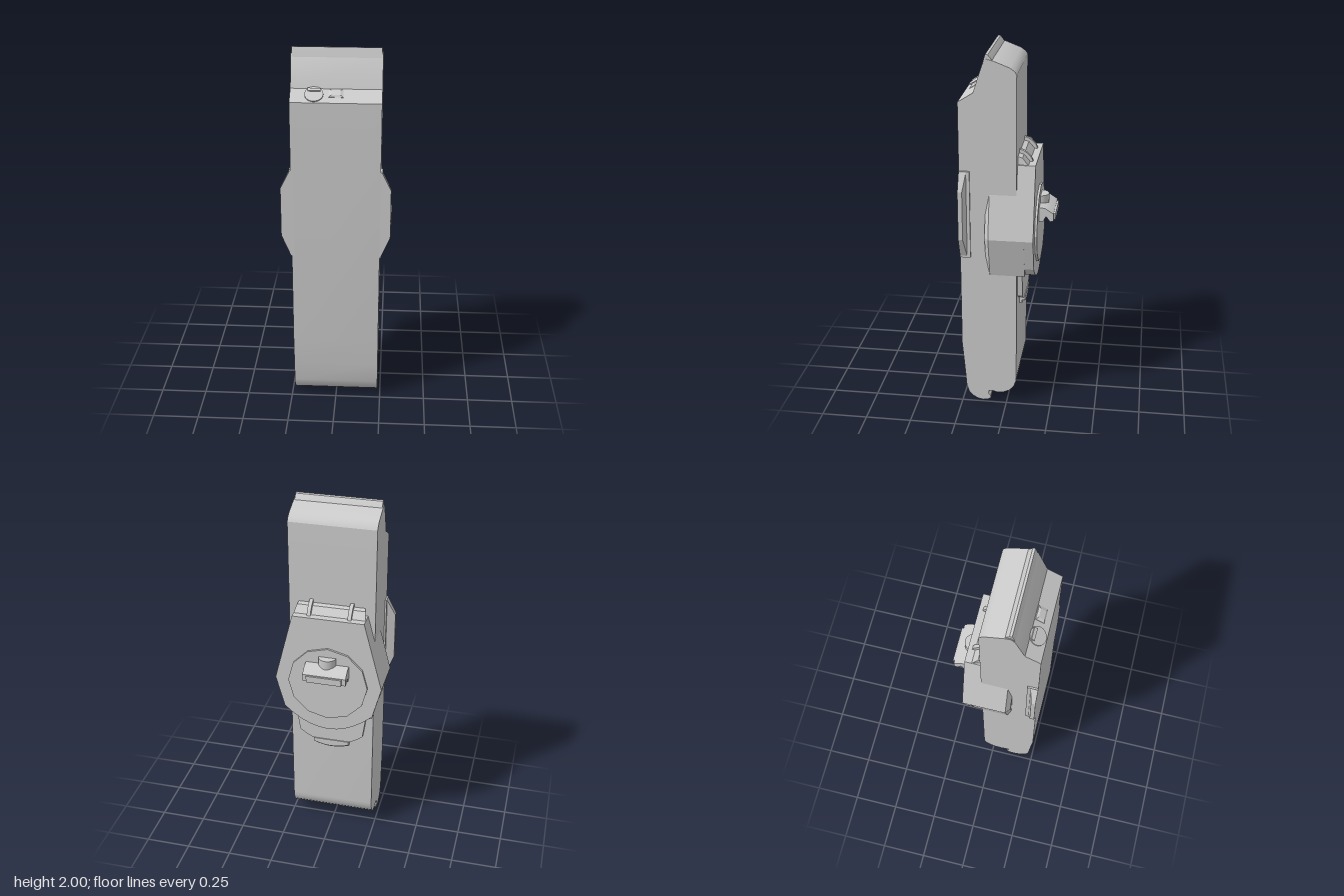
import * as THREE from 'three';
import { toCreasedNormals } from 'three/addons/utils/BufferGeometryUtils.js';

const material = new THREE.MeshStandardMaterial({ color: 0xcccccc });

function add(parent, name, geometry) {
  const mesh = new THREE.Mesh(geometry, material);
  mesh.name = name;
  parent.add(mesh);
  return mesh;
}

function box(parent, name, x0, x1, y0, y1, z0, z1) {
  const g = new THREE.BoxGeometry(x1 - x0, y1 - y0, z1 - z0);
  g.translate((x0 + x1) / 2, (y0 + y1) / 2, (z0 + z1) / 2);
  return add(parent, name, g);
}

const toShape = (points) => new THREE.Shape(points.map(([a, b]) => new THREE.Vector2(a, b)));

// Side profile of [z, y] points, extruded across x
function acrossX(points, width, x = 0) {
  const g = new THREE.ExtrudeGeometry(toShape(points), { depth: width, bevelEnabled: false });
  g.rotateY(-Math.PI / 2).translate(x + width / 2, 0, 0);
  return toCreasedNormals(g, 0.5);
}

// Outline of [x, y] points, extruded from z0 to z1
function alongZ(points, z0, z1) {
  const g = new THREE.ExtrudeGeometry(toShape(points), { depth: z1 - z0, bevelEnabled: false });
  return g.translate(0, 0, z0);
}

// Solid through equal-length rings of [x, y, z], closed at both ends
function loft(rings) {
  const n = rings[0].length, tris = [];
  for (let r = 0; r < rings.length - 1; r++) {
    for (let i = 0; i < n; i++) {
      const j = (i + 1) % n, a = rings[r], b = rings[r + 1];
      tris.push([a[i], a[j], b[j]], [a[i], b[j], b[i]]);
    }
  }
  const last = rings[rings.length - 1];
  for (let i = 1; i < n - 1; i++) {
    tris.push([rings[0][0], rings[0][i + 1], rings[0][i]], [last[0], last[i], last[i + 1]]);
  }
  // A negative volume means the faces point inward
  const v = (p) => new THREE.Vector3(...p);
  const volume = tris.reduce((s, [a, b, c]) => s + v(a).sub(v(last[0])).dot(v(b).sub(v(last[0])).cross(v(c).sub(v(last[0])))), 0);
  if (volume < 0) tris.forEach((t) => t.reverse());
  const g = new THREE.BufferGeometry();
  g.setAttribute('position', new THREE.Float32BufferAttribute(tris.flat(2), 3));
  g.computeVertexNormals();
  return g;
}

// Shallow arc dipping from y0 at x = +-w to y1 in the middle, left to right
function dip(w, y0, y1, steps = 10) {
  return Array.from({ length: steps + 1 }, (_, i) => {
    const t = (i / steps) * 2 - 1;
    return [t * w, y1 + (y0 - y1) * t * t];
  });
}

export function createModel() {
  const model = new THREE.Group();
  model.name = 'handheldDevice';

  // Main casing with rounded foot, small foot notch and sloped top
  add(model, 'casing', acrossX([
    [0.25, 1.75], [0.25, 0.36], [0.237, 0.21], [0.228, 0.09], [0.215, 0.05], [0.195, 0.025],
    [0.165, 0.007], [0.135, 0], [0.1, 0.007], [0.09, 0.018], [0.092, 0.03], [0.104, 0.042],
    [0.1, 0.06], [0.085, 0.064], [0.055, 0.055], [0.02, 0.058], [-0.015, 0.073],
    [-0.04, 0.1], [-0.053, 0.135], [-0.055, 0.16], [-0.055, 1.9], [-0.045, 1.917], [-0.02, 1.935],
    [0.065, 1.968], [0.1, 1.975], [0.12, 1.95], [0.17, 1.8],
  ], 0.47));
  add(model, 'topStrip', acrossX([
    [0.12, 1.95], [0.065, 1.96], [0.078, 1.98], [0.092, 1.997], [0.105, 2], [0.11, 1.985],
  ], 0.46));

  // Buttons on the short front slope
  const controls = new THREE.Group();
  controls.name = 'controls';
  controls.position.set(0, 1.775, 0.21);
  controls.rotation.x = Math.atan2(0.05, 0.08);
  model.add(controls);
  add(controls, 'roundButton', new THREE.CylinderGeometry(0.048, 0.048, 0.012, 28)).position.set(-0.112, 0, -0.008);
  box(controls, 'roundButtonTab', -0.145, -0.08, 0, 0.012, -0.042, -0.024);
  const [w, d] = [0.0375, 0.026];
  const pad = (k, y) => [[-w * k, y, -d * k], [w * k, y, -d * k], [w * k, y, d * k], [-w * k, y, d * k]];
  add(controls, 'squareButton', loft([pad(1, -0.01), pad(1, 0.003), pad(0.6, 0.009)])).position.z = -0.016;

  // Thin wings along both front edges
  for (const s of [-1, 1]) {
    const side = s > 0 ? 'left' : 'right';
    const section = (x, y0, y1, z) => [[s * x, y0, z], [s * x, y1, z], [s * x, y1, 0.25], [s * x, y0, 0.25]];
    add(model, side + 'WingBase', loft([section(0.22, 0.89, 1.38, 0.193), section(0.244, 0.89, 1.38, 0.193)]));
    add(model, side + 'Wing', loft([section(0.24, 0.89, 1.38, 0.21), section(0.29, 1.01, 1.28, 0.226)]));
  }

  // Clip housing wrapped round the sides and back
  const hexagon = (k, z) => [
    [0.195, 1.41], [-0.195, 1.41], [-0.295, 1.02], [-0.235, 0.79], [0.235, 0.79], [0.295, 1.02],
  ].map(([x, y]) => [x * k, 1.02 + (y - 1.02) * k, z]);
  add(model, 'clipHousing', loft([hexagon(1, -0.1), hexagon(1, 0.09), hexagon(0.9, 0.113)]));
  add(model, 'clipBackPlate', alongZ([
    [0.195, 1.41], [-0.195, 1.41], [-0.295, 1.02], ...dip(0.247, 0.84, 0.72), [0.295, 1.02],
  ], -0.15, -0.08));

  // Sloped hinge with two raised ribs
  add(model, 'hingeSlope', loft([
    [[-0.18, 1.4, -0.05], [0.18, 1.4, -0.05], [0.18, 1.455, -0.05], [-0.18, 1.455, -0.05]],
    [[-0.185, 1.4, -0.08], [0.185, 1.4, -0.08], [0.185, 1.448, -0.08], [-0.185, 1.448, -0.08]],
    [[-0.195, 1.4, -0.112], [0.195, 1.4, -0.112], [0.195, 1.41, -0.112], [-0.195, 1.41, -0.112]],
  ]));
  for (const x of [-0.11, 0.11]) {
    add(model, 'hingeRib', acrossX([
      [-0.05, 1.4], [-0.05, 1.475], [-0.075, 1.47], [-0.1, 1.452], [-0.12, 1.43], [-0.132, 1.4],
    ], 0.02, x));
  }

  // Lower tongue with a curved lip
  add(model, 'tongue', alongZ([...dip(0.18, 0.645, 0.575), [0.205, 0.82], [-0.205, 0.82]], -0.082, -0.05));
  add(model, 'tongueLip', alongZ([...dip(0.1, 0.565, 0.545), [0.1, 0.605], [-0.1, 0.605]], -0.07, -0.05));
  add(model, 'tongueRidge', alongZ([...dip(0.1, 0.58, 0.56), [0.1, 0.6], [-0.1, 0.6]], -0.087, -0.06));

  // Rotating dial with a grip bar and a half-round boss
  const dial = add(model, 'dial', new THREE.CylinderGeometry(0.22, 0.22, 0.02, 12).toNonIndexed());
  dial.geometry.rotateX(Math.PI / 2);
  dial.geometry.computeVertexNormals();
  dial.position.set(0, 1.02, -0.152);
  add(model, 'gripBar', acrossX([
    [-0.155, 1.07], [-0.155, 1.15], [-0.195, 1.145], [-0.24, 1.115], [-0.24, 1.075], [-0.222, 1.07], [-0.2, 1.1], [-0.185, 1.07],
  ], 0.236));
  box(model, 'gripEdge', -0.096, 0.096, 1.075, 1.112, -0.25, -0.23);
  add(model, 'gripBoss', new THREE.CylinderGeometry(0.048, 0.048, 0.1, 20, 1, false, Math.PI / 2, Math.PI))
    .position.set(0, 1.14, -0.157);

  return model;
}
